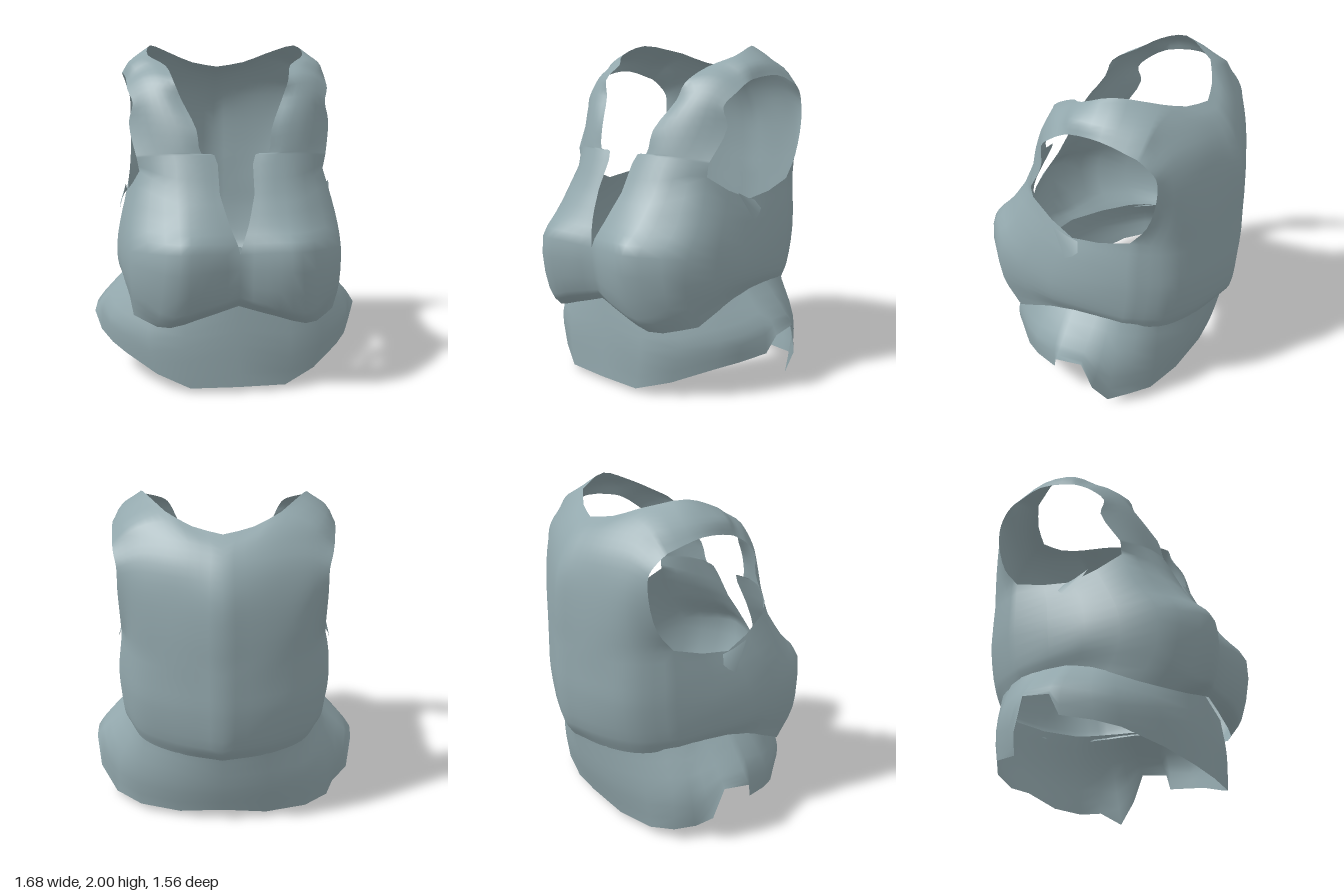
import * as THREE from 'three';
import { mergeGeometries, mergeVertices } from 'three/addons/utils/BufferGeometryUtils.js';

const vec = (p) => new THREE.Vector3(...p);

// Smooth curve through a few points, sampled to n segments
const curve = (pts, n) => new THREE.CatmullRomCurve3(pts.map(vec)).getPoints(n);

// Skin a list of equally long rows (bottom to top, front to back), smoothing between rows
function loft(rows, sub) {
  const cols = rows[0].length, steps = (rows.length - 1) * sub;
  const pos = [], idx = [];
  const strands = rows[0].map((_, j) => new THREE.CatmullRomCurve3(rows.map((r) => r[j])).getPoints(steps));
  for (let i = 0; i <= steps; i++) {
    for (let j = 0; j < cols; j++) {
      const p = strands[j][i];
      pos.push(Math.max(0, p.x), p.y, p.z);
      if (i < steps && j < cols - 1) {
        const a = i * cols + j, c = a + cols;
        idx.push(a, a + 1, c, a + 1, c + 1, c);
      }
    }
  }
  const g = new THREE.BufferGeometry();
  g.setAttribute('position', new THREE.Float32BufferAttribute(pos, 3));
  g.setIndex(idx);
  return g;
}

function mirrored(g) {
  const m = g.clone().scale(-1, 1, 1);
  const ix = m.index.array;
  for (let i = 0; i < ix.length; i += 3) [ix[i], ix[i + 1]] = [ix[i + 1], ix[i]];
  return m;
}

// Join half pieces with their mirror images into one smooth shell
function shell(halves) {
  const g = mergeVertices(mergeGeometries(halves.flatMap((h) => [h, mirrored(h)])), 1e-4);
  g.computeVertexNormals();
  return g;
}

const FRONT = 8, SIDE = 4, BACK = 12;

// Lower torso rings: four front points, one under the arm, four back points
const rings = [
  [[0, .52, .62], [.2, .46, .63], [.42, .40, .615], [.60, .43, .43], [.635, .57, .08],
    [.59, .57, -.3], [.48, .54, -.49], [.27, .52, -.61], [0, .52, -.69]],
  [[0, .58, .66], [.2, .54, .715], [.40, .49, .695], [.61, .62, .54], [.68, .66, .13],
    [.61, .64, -.32], [.49, .63, -.53], [.27, .62, -.66], [0, .62, -.75]],
  [[0, .84, .70], [.2, .86, .755], [.36, .86, .765], [.615, .84, .54], [.69, .80, .14],
    [.62, .85, -.35], [.5, .85, -.57], [.29, .85, -.69], [0, .85, -.78]],
  [[.055, 1, .64], [.2, 1, .66], [.36, 1, .64], [.605, 1.02, .425], [.655, 1, .09],
    [.62, 1, -.35], [.5, 1.02, -.57], [.29, 1.02, -.69], [0, 1.02, -.78]],
  [[.1, 1.16, .55], [.2, 1.17, .55], [.36, 1.18, .51], [.55, 1.27, .31], [.615, 1.12, .01],
    [.6, 1.2, -.36], [.5, 1.18, -.56], [.29, 1.17, -.69], [0, 1.17, -.775]],
];

// Front panel and strap, neck edge to arm edge, running up and over the shoulder
const strap = [
  rings[4].slice(0, 4),
  [[.12, 1.375, .44], [.23, 1.375, .45], [.37, 1.37, .42], [.565, 1.35, .31]],
  [[.195, 1.385, .44], [.28, 1.39, .44], [.4, 1.39, .4], [.57, 1.37, .30]],
  [[.22, 1.52, .41], [.32, 1.54, .39], [.46, 1.55, .33], [.605, 1.55, .2]],
  [[.30, 1.69, .30], [.39, 1.7, .30], [.49, 1.7, .26], [.58, 1.66, .21]],
  [[.34, 1.79, .27], [.43, 1.81, .22], [.52, 1.8, .17], [.61, 1.74, .13]],
  [[.38, 1.88, .12], [.46, 1.88, .1], [.55, 1.84, .08], [.615, 1.785, .06]],
  [[.48, 1.94, 0], [.53, 1.92, 0], [.59, 1.88, 0], [.62, 1.81, 0]],
  [[.46, 2, -.18], [.53, 1.95, -.2], [.6, 1.89, -.2], [.64, 1.83, -.2]],
  [[.32, 1.95, -.4], [.42, 1.92, -.41], [.53, 1.86, -.42], [.62, 1.77, -.41]],
];

// Back panel, arm edge to spine
const back = [
  rings[4].slice(5),
  [[.59, 1.33, -.46], [.48, 1.35, -.59], [.29, 1.35, -.685], [0, 1.35, -.775]],
  [[.59, 1.53, -.515], [.47, 1.55, -.59], [.27, 1.55, -.67], [0, 1.55, -.755]],
  [[.59, 1.66, -.51], [.46, 1.71, -.55], [.25, 1.71, -.63], [0, 1.7, -.69]],
  [[.61, 1.73, -.46], [.45, 1.82, -.48], [.24, 1.83, -.55], [0, 1.8, -.61]],
];

// Flared skirt rows with a notch at each hip
const skirtRows = [
  [[0, .03, .63], [.28, .03, .62], [.47, .09, .52], [.65, .17, .35], [.73, .2, .23], [.8, .23, .06],
    [.84, .34, .02], [.825, .36, -.15], [.8, .17, -.21], [.7, 0, -.26], [.66, .08, -.39],
    [.52, .05, -.47], [.27, .04, -.53], [0, .08, -.57]],
  [[0, .28, .62], [.31, .27, .615], [.52, .3, .51], [.67, .34, .33], [.74, .36, .22], [.78, .40, .06],
    [.79, .42, .01], [.78, .42, -.15], [.75, .36, -.24], [.71, .33, -.31], [.65, .32, -.4],
    [.52, .3, -.5], [.28, .29, -.59], [0, .3, -.64]],
  [[0, .53, .6], [.3, .48, .59], [.5, .48, .46], [.6, .53, .28], [.62, .56, .17], [.63, .58, .06],
    [.63, .59, .01], [.61, .6, -.15], [.6, .6, -.23], [.585, .6, -.3], [.54, .59, -.39],
    [.47, .58, -.49], [.26, .57, -.62], [0, .57, -.7]],
];

export function createModel() {
  const group = new THREE.Group();
  const greyBlue = new THREE.MeshStandardMaterial({ color: 0x92a7ac, side: THREE.DoubleSide });
  greyBlue.name = 'greyBlue';
  const add = (name, geometry) => {
    const mesh = new THREE.Mesh(geometry, greyBlue);
    mesh.name = name;
    group.add(mesh);
  };

  // Torso with neck opening, arm holes and straps
  const ringRows = rings.map((r) => [
    ...curve(r.slice(0, 4), FRONT),
    ...curve(r.slice(3, 6), SIDE).slice(1),
    ...curve(r.slice(5), BACK).slice(1),
  ]);
  const strapRows = strap.map((r) => curve(r, FRONT));
  const neckRow = [
    ...strapRows[strapRows.length - 1].slice().reverse(),
    ...curve([[.32, 1.95, -.4], [.17, 1.89, -.48], [0, 1.86, -.53]], BACK - FRONT).slice(1),
  ];
  const backRows = [...back.map((r) => curve(r, BACK)), neckRow];
  add('torso', shell([loft(ringRows, 3), loft(strapRows, 3), loft(backRows, 3)]));

  // Skirt; its rear hip corner hangs lower on the left
  const skirt = shell([loft(skirtRows.map((r) => r.map(vec)), 3)]);
  const p = skirt.attributes.position;
  for (let i = 0; i < p.count; i++) if (p.getX(i) < -.6) p.setY(i, Math.max(.08, p.getY(i)));
  skirt.computeVertexNormals();
  add('skirt', skirt);

  // Small loose flap below each arm hole
  const flap = loft([
    [[.67, 1, .03], [.665, 1.03, -.02], [.655, 1.06, -.05]].map(vec),
    [[.63, 1.17, .13], [.625, 1.13, .04], [.62, 1.11, -.03]].map(vec),
  ], 1);
  add('armholeFlaps', shell([flap]));

  return group;
}
